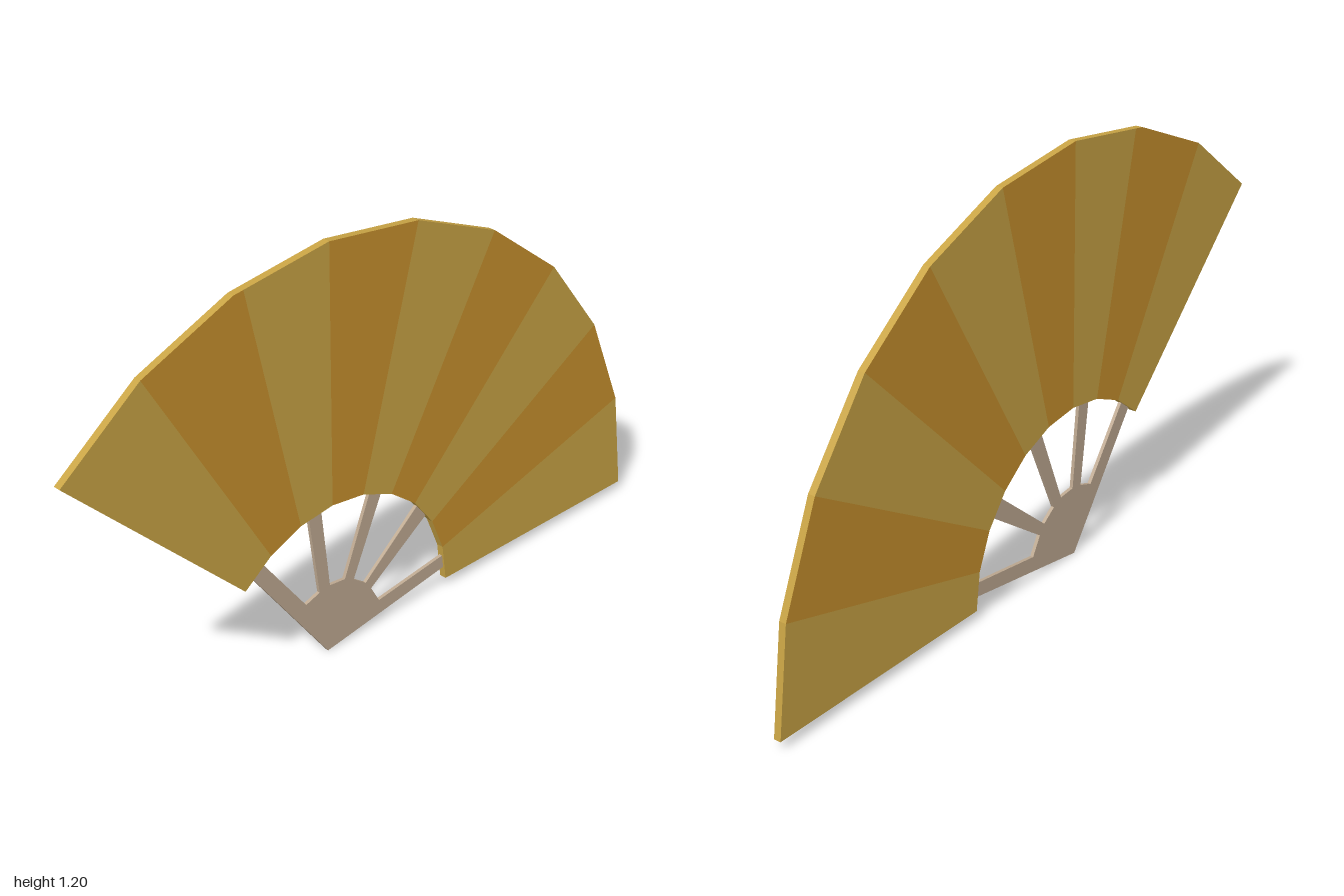
import * as THREE from 'three';

const mat = (name, color) => {
  const m = new THREE.MeshStandardMaterial({ color });
  m.name = name;
  return m;
};

// Extruded flat plate centred on z = 0
function plate(name, points, depth, material) {
  const shape = new THREE.Shape(points.map(([x, y]) => new THREE.Vector2(x, y)));
  const geo = new THREE.ExtrudeGeometry(shape, { depth, bevelEnabled: false });
  geo.translate(0, 0, -depth / 2);
  const mesh = new THREE.Mesh(geo, material);
  mesh.name = name;
  return mesh;
}

export function createModel() {
  const group = new THREE.Group();
  group.name = 'foldingFan';
  const paleGold = mat('paleGold', 0xc9a445);
  const amber = mat('amber', 0xc8912d);
  const wood = mat('wood', 0xbfaa92);

  // Pleated leaf: nine 15 degree panels in alternating colours, pale rim
  const CX = -0.172, CY = 0.027, OUTER = 1.172, INNER = 0.426;
  const polar = (r, i) => {
    const a = (i * Math.PI) / 12;
    return [CX + r * Math.cos(a), CY + r * Math.sin(a)];
  };
  // One colour seam meets the rim slightly before the corner
  const a6 = polar(OUTER, 6), a7 = polar(OUTER, 7);
  const seam = [a7[0] + (a6[0] - a7[0]) * 0.1, a7[1] + (a6[1] - a7[1]) * 0.1];

  const leaf = new THREE.Group();
  leaf.name = 'leaf';
  for (let i = 0; i < 9; i++) {
    const pts = [polar(INNER, i), polar(OUTER, i), polar(OUTER, i + 1), polar(INNER, i + 1)];
    if (i === 6) pts[2] = seam;
    if (i === 7) pts.splice(1, 0, seam);
    leaf.add(plate('leafPanel' + (i + 1), pts, 0.021, [i % 2 ? amber : paleGold, paleGold]));
  }
  group.add(leaf);

  // Wooden hub with five ribs, the rib ends tucked into the leaf
  const ribs = [
    [-0.19, 0],
    [0.27, 0.067], [0.265, 0.107], [0, 0.072], [-0.03, 0.125],
    [0.19, 0.277], [0.152, 0.32], [-0.05, 0.152], [-0.094, 0.184],
    [0.016, 0.432], [-0.027, 0.45], [-0.126, 0.2], [-0.18, 0.206],
    [-0.209, 0.467], [-0.253, 0.467], [-0.217, 0.2], [-0.265, 0.184],
    [-0.416, 0.388], [-0.452, 0.361],
  ];
  group.add(plate('ribs', ribs, 0.01, wood));

  return group;
}
